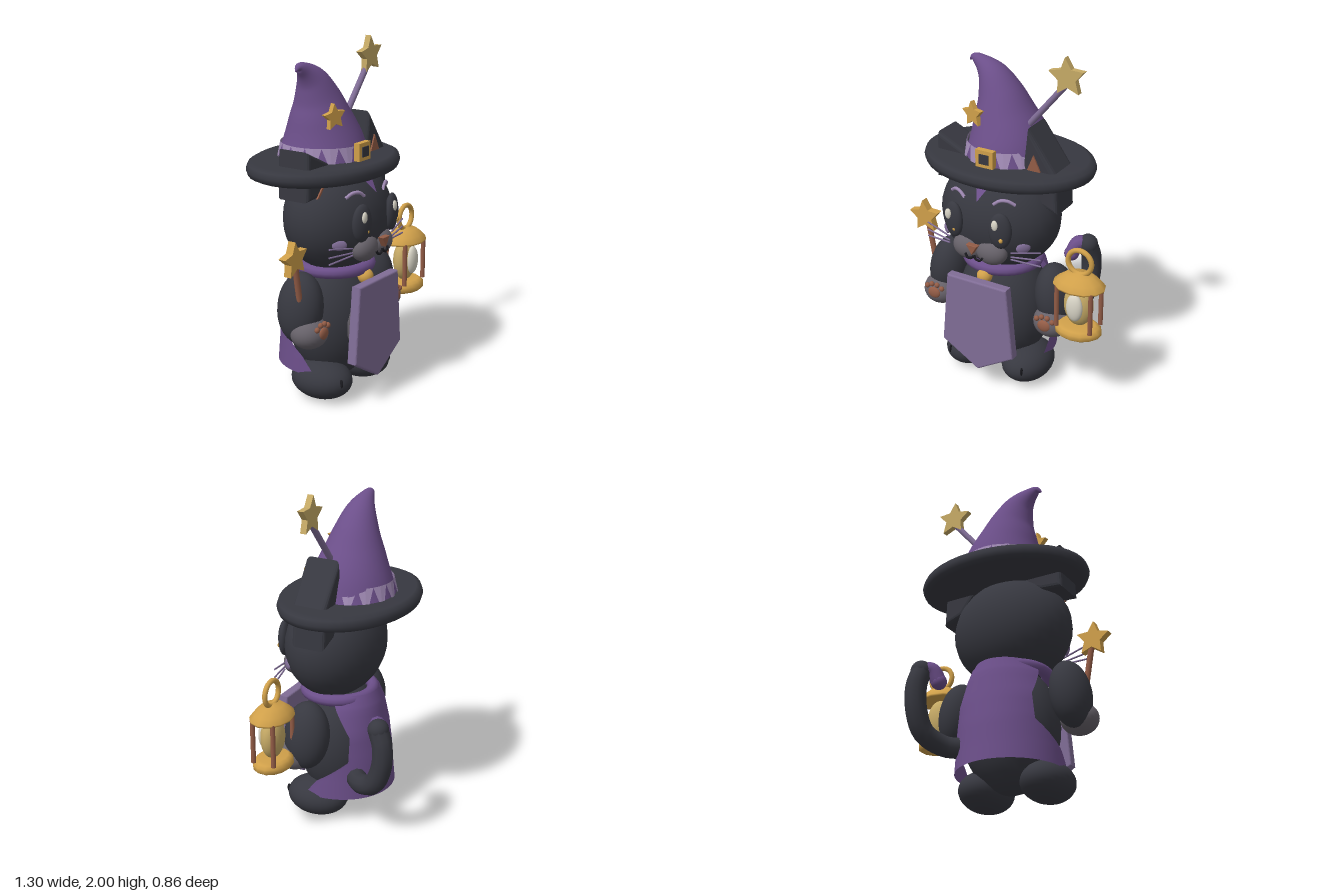
import * as THREE from 'three';

const mat = (name, color, extra = {}) => {
  const m = new THREE.MeshStandardMaterial({ color, ...extra });
  m.name = name;
  return m;
};
const CX = -0.07; // the body's own centre line
const V = (x, y, z) => new THREE.Vector3(x, y, z);

export function createModel() {
  const root = new THREE.Group();
  root.name = 'wizardCat';
  const dark = mat('charcoalFur', 0x373840), black = mat('black', 0x1b1b20);
  const purple = mat('purpleCloth', 0x6c4f8a, { side: THREE.DoubleSide });
  const lilac = mat('lilacCloth', 0x806d96), light = mat('paleLilac', 0xa08ab4, { side: THREE.DoubleSide });
  const gold = mat('gold', 0xd0a04a), paleGold = mat('paleGold', 0xc6aa66);
  const brown = mat('brown', 0x935c46), gray = mat('grayFur', 0x67626a), cream = mat('cream', 0xd8d4c6);

  const add = (name, geo, material, x = 0, y = 0, z = 0, parent = root) => {
    const m = new THREE.Mesh(geo, material);
    m.name = name;
    m.position.set(x, y, z);
    parent.add(m);
    return m;
  };
  const ball = (name, material, x, y, z, rx, ry = rx, rz = rx) => {
    const m = add(name, new THREE.SphereGeometry(1, 28, 18), material, x, y, z);
    m.scale.set(rx, ry, rz);
    return m;
  };
  const tube = (name, material, pts, r, sides = 8) =>
    add(name, new THREE.TubeGeometry(new THREE.CatmullRomCurve3(pts), 20, r, sides), material);
  const rod = (name, material, a, b, r) => {
    const m = add(name, new THREE.CylinderGeometry(r, r, a.distanceTo(b), 10), material);
    m.position.copy(a).lerp(b, 0.5);
    m.quaternion.setFromUnitVectors(V(0, 1, 0), b.clone().sub(a).normalize());
    return m;
  };
  const plate = (pts, depth, bevel = 0) => {
    const s = new THREE.Shape(pts.map(p => new THREE.Vector2(...p)));
    return new THREE.ExtrudeGeometry(s, {
      depth: depth - 2 * bevel, bevelEnabled: bevel > 0, bevelSize: bevel,
      bevelThickness: bevel, bevelOffset: -bevel, bevelSegments: 3,
    }).translate(0, 0, -depth / 2 + bevel);
  };
  const star = (name, material, x, y, z, r, depth, tilt = 0) => {
    const pts = Array.from({ length: 10 }, (_, i) => {
      const a = Math.PI / 2 + tilt + i * Math.PI / 5, q = i % 2 ? r * 0.5 : r;
      return [Math.cos(a) * q, Math.sin(a) * q];
    });
    return add(name, plate(pts, depth), material, x, y, z);
  };
  const lathe = (name, material, pts, seg, x, z, sz) => {
    const m = add(name, new THREE.LatheGeometry(pts.map(p => new THREE.Vector2(...p)), seg), material, x, 0, z);
    m.scale.z = sz;
    return m;
  };
  const mirror = fn => [-1, 1].forEach(fn);

  // Head, body and feet
  const headZ = (x, y) => 0.1 + 0.28 * Math.sqrt(Math.max(0, 1 - ((x - CX) / 0.36) ** 2 - ((y - 1.04) / 0.32) ** 2));
  ball('head', dark, CX, 1.04, 0.1, 0.36, 0.32, 0.28);
  ball('body', dark, CX, 0.43, 0.07, 0.285, 0.37, 0.245);
  ball('bellyPatch', gray, CX, 0.43, 0.26, 0.16, 0.19, 0.06);

  mirror(s => {
    const side = s < 0 ? 'right' : 'left', X = d => CX + s * d;
    ball(side + 'Foot', dark, X(0.193), 0.115, 0.125, 0.147, 0.115, 0.187);
    ball(side + 'ToeMark', black, X(0.245), 0.135, 0.295, 0.007, 0.026, 0.012);
    // Arm, paw and paw pads
    ball(side + 'Arm', dark, X(0.36), 0.585, 0.1, 0.115, 0.2, 0.135).rotation.z = s * 0.15;
    ball(side + 'Paw', gray, X(0.375), 0.46, 0.17, 0.11, 0.092, 0.105);
    ball(side + 'PawPad', brown, X(0.372), 0.47, 0.262, 0.042, 0.036, 0.018);
    [-0.05, -0.018, 0.018, 0.05].forEach((d, i) =>
      ball(side + 'ToePad', brown, X(0.372) + d, i % 3 ? 0.522 : 0.505, 0.258, 0.016, 0.016, 0.014));
    // Face
    ball(side + 'Eye', black === dark ? black : dark, X(0.15), 1.06, 0.362, 0.066, 0.107, 0.034).rotation.y = s * 0.25;
    ball(side + 'EyeHighlight', cream, X(0.15) - 0.018, 1.1, 0.392, 0.02, 0.032, 0.012);
    ball(side + 'EyeSpark', gold, X(0.15) + 0.018, 1.015, 0.388, 0.012, 0.014, 0.01);
    tube(side + 'Brow', light, [-0.055, -0.02, 0.02, 0.055].map((d, i) =>
      V(X(0.148) + d, i % 3 ? 1.222 : 1.198, headZ(X(0.148) + d, 1.21) + 0.012)), 0.01, 6);
    ball(side + 'Cheek', lilac, X(0.25), 0.945, headZ(X(0.25), 0.945), 0.042, 0.03, 0.014).rotation.y = s * 0.8;
    ball(side + 'Muzzle', gray, X(0.075), 0.9, 0.33, 0.096, 0.077, 0.065);
    tube(side + 'Mouth', black, [V(X(0), 0.887, 0.398), V(X(0.015), 0.868, 0.402),
      V(X(0.04), 0.865, 0.4), V(X(0.058), 0.887, 0.396)], 0.007, 6);
    [[0.925, 0.955], [0.9, 0.908], [0.885, 0.87]].forEach(([y0, y1]) =>
      rod(side + 'Whisker', lilac, V(X(0.2), y0, 0.335), V(X(0.37), y1, 0.3), 0.005));
  });
  add('nose', plate([[-0.035, 0.028], [0, -0.03], [0.035, 0.028]], 0.035, 0.004), brown, CX, 0.93, 0.407);
  const mark = [[-0.055, 1.3], [0, 1.2], [0.055, 1.3]].map(([x, y]) => V(CX + x, y, headZ(CX + x, y) + 0.016));
  add('foreheadMark', new THREE.BufferGeometry().setFromPoints(mark), purple).geometry.computeVertexNormals();

  // Ears, poking through the brim
  [['right', [[-0.445, 1.465], [-0.457, 1.19], [-0.32, 1.2], [-0.1, 1.3]],
    [[-0.38, 1.2], [-0.3, 1.29], [-0.26, 1.24], [-0.31, 1.21]]],
  ['left', [[0.135, 1.6], [0.1, 1.3], [0.2, 1.17], [0.325, 1.13], [0.312, 1.36]],
    [[0.13, 1.34], [0.24, 1.3], [0.222, 1.375], [0.18, 1.46]]]].forEach(([side, outer, inner]) => {
    add(side + 'Ear', plate(outer, 0.205, 0.025), dark, 0, 0, 0.07);
    add(side + 'InnerEar', plate(inner, 0.009), brown, 0, 0, 0.177);
  });

  // Hat brim
  lathe('hatBrim', dark, [[0, 1.285], [0.47, 1.28], [0.505, 1.295], [0.517, 1.325],
    [0.505, 1.355], [0.47, 1.37], [0, 1.365]], 40, CX, 0.007, 0.74);

  // Curled hat cone: rings swept along a bent spine
  const spine = [[-0.066, 1.34, 0.262], [-0.075, 1.45, 0.232], [-0.1, 1.58, 0.182], [-0.13, 1.7, 0.132],
    [-0.18, 1.8, 0.088], [-0.245, 1.86, 0.047], [-0.295, 1.882, 0.024], [-0.325, 1.865, 0.004]];
  const path = new THREE.CatmullRomCurve3(spine.map(p => V(...p))); // z carries the radius
  const pos = [], idx = [], R = 32, N = 36;
  for (let i = 0; i <= N; i++) {
    const c = path.getPoint(i / N), t = path.getTangent(i / N).setZ(0).normalize();
    for (let j = 0; j < R; j++) {
      const a = j / R * Math.PI * 2, k = Math.cos(a) * c.z;
      pos.push(c.x + t.y * k, c.y - t.x * k, Math.sin(a) * c.z);
      if (i < N) {
        const p = i * R + j, q = i * R + (j + 1) % R;
        idx.push(p, p + R, q, q, p + R, q + R);
      }
    }
  }
  const cone = new THREE.BufferGeometry();
  cone.setAttribute('position', new THREE.Float32BufferAttribute(pos, 3));
  cone.setIndex(idx);
  cone.computeVertexNormals();
  add('hatCone', cone, purple);

  // Zigzag hat band
  const band = [], P = 16;
  const bandPoint = (u, h) => {
    const a = u / P * Math.PI * 2, r = 0.267 - 0.029 * h;
    return V(-0.066 - 0.009 * h + r * Math.sin(a), 1.345 + 0.105 * h, r * Math.cos(a));
  };
  for (let i = 0; i < P; i++) {
    [[0, 0.12, 0.5, 0], [0.88, 1, 1, 0.5]].forEach(([a, b, c, d]) => {
      const q = [[a, 0], [b, 0], [c, 1], [d, 1]].map(([u, h]) => bandPoint(i + u, h));
      band.push(q[0], q[1], q[2], q[0], q[2], q[3]);
    });
  }
  add('hatBand', new THREE.BufferGeometry().setFromPoints(band), light).geometry.computeVertexNormals();
  add('buckle', new THREE.BoxGeometry(0.11, 0.1, 0.035), gold, CX, 1.42, 0.262);
  add('buckleCentre', new THREE.BoxGeometry(0.06, 0.056, 0.008), dark, CX, 1.42, 0.282);
  star('hatStar', gold, -0.205, 1.62, 0.165, 0.075, 0.03, 0.1).rotation.y = -0.25;

  // Wand tucked behind the hat
  rod('backWandStick', lilac, V(0.05, 1.54, 0.05), V(0.3, 1.84, 0.05), 0.018);
  star('backWandStar', paleGold, 0.313, 1.89, 0.05, 0.11, 0.036, 0.1);

  // Hand wand
  rod('handWandStick', brown, V(-0.495, 0.6, 0.15), V(-0.545, 0.88, 0.15), 0.017);
  star('handWandStar', gold, -0.558, 0.905, 0.15, 0.102, 0.046, 0.1);

  // Collar, bell and front banner
  const collar = add('collar', new THREE.TorusGeometry(0.195, 0.035, 10, 32).rotateX(Math.PI / 2), purple, CX, 0.75, 0.08);
  collar.scale.x = 1.05;
  ball('bell', gold, CX, 0.705, 0.29, 0.045);
  add('banner', plate([[-0.195, 0.705], [-0.235, 0.265], [0, 0.125], [0.235, 0.265], [0.195, 0.705]], 0.06, 0.01),
    lilac, CX, 0, 0.355);

  // Cape: an open shell whose front edges curve in and out
  const rows = [[0.78, 80, 0.19, 0.235], [0.7, 70, 0.24, 0.26], [0.55, 52, 0.29, 0.285],
    [0.4, 55, 0.3, 0.305], [0.27, 90, 0.305, 0.315], [0.165, 105, 0.31, 0.325]];
  const cape = new THREE.PlaneGeometry(1, 1, 32, 20), cp = cape.attributes.position;
  for (let i = 0; i < cp.count; i++) {
    const t = (0.5 - cp.getY(i)) * 5, k = Math.min(4, Math.floor(t));
    const [y, half, rx, rz] = rows[k].map((v, n) => v + (rows[k + 1][n] - v) * (t - k));
    const a = -2 * cp.getX(i) * half * Math.PI / 180;
    cp.setXYZ(i, CX + rx * Math.sin(a), y, 0.07 - rz * Math.cos(a));
  }
  cape.computeVertexNormals();
  add('cape', cape, purple);

  // Tail with coloured tip
  tube('tail', dark, [V(0.12, 0.3, -0.12), V(0.2, 0.305, -0.2), V(0.26, 0.36, -0.31), V(0.275, 0.48, -0.365),
    V(0.275, 0.62, -0.37), V(0.265, 0.705, -0.34)], 0.06, 10);
  ball('tailBend', dark, 0.265, 0.71, -0.34, 0.06);
  tube('tailTip', purple, [V(0.26, 0.71, -0.34), V(0.215, 0.715, -0.31), V(0.185, 0.65, -0.285)], 0.045, 10);
  ball('tailEnd', purple, 0.185, 0.65, -0.285, 0.045);

  // Lantern
  const LX = 0.49, LZ = 0.205;
  lathe('lanternBase', gold, [[0, 0.455], [0.12, 0.455], [0.138, 0.468], [0.138, 0.495], [0.12, 0.51], [0.1, 0.522], [0, 0.522]], 14, LX, LZ, 0.78);
  lathe('lanternCap', gold, [[0, 0.758], [0.15, 0.758], [0.155, 0.77], [0.125, 0.8], [0.08, 0.832], [0, 0.848]], 12, LX, LZ, 0.76);
  add('lanternRing', new THREE.TorusGeometry(0.072, 0.015, 10, 28), gold, LX, 0.905, LZ);
  mirror(sx => mirror(sz => add('lanternPost', new THREE.CylinderGeometry(0.014, 0.014, 0.26, 8), brown,
    LX + sx * 0.105, 0.64, LZ + sz * 0.065)));
  ball('lanternGlass', paleGold, LX, 0.64, LZ, 0.088, 0.128, 0.062);
  ball('lanternFlame', cream, LX, 0.645, LZ + 0.052, 0.05, 0.085, 0.03);
  return root;
}
